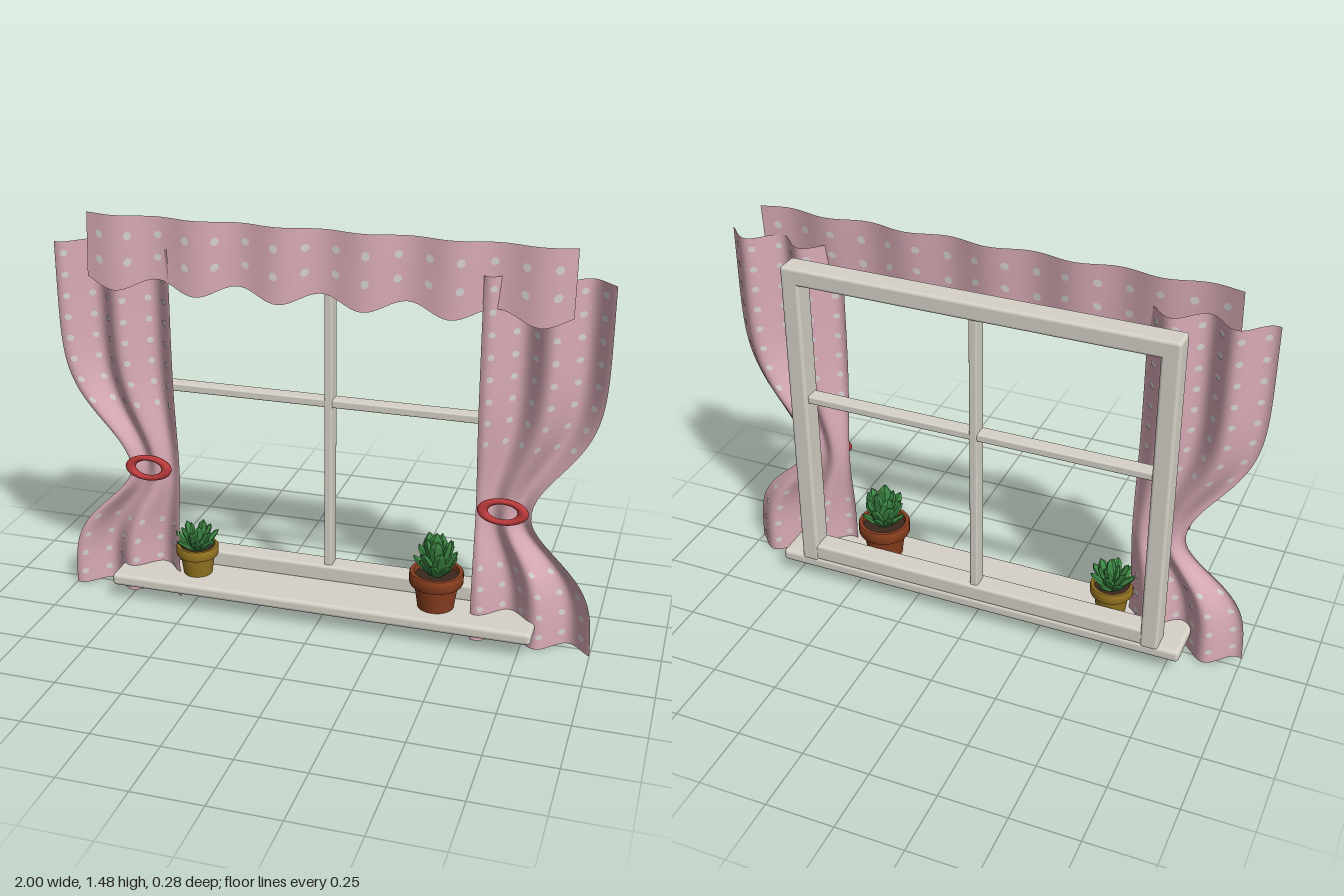
import * as THREE from 'three';
import { mergeGeometries, toCreasedNormals } from 'three/addons/utils/BufferGeometryUtils.js';
import { RoundedBoxGeometry } from 'three/addons/geometries/RoundedBoxGeometry.js';

const mat = (name, color, opts = {}) => {
  const m = new THREE.MeshStandardMaterial({ color, ...opts });
  m.name = name;
  return m;
};

export function createModel() {
  const root = new THREE.Group();
  root.name = 'curtainedWindow';
  const D = { side: THREE.DoubleSide };
  const pink = mat('pinkCloth', 0xd9abb6, D);
  const pale = mat('paleDots', 0xd9d3d3, D);
  const cream = mat('paintedWood', 0xd6d2c8);
  const red = mat('redTieback', 0xb8393b);
  const terracotta = mat('terracotta', 0x8a3f1f, D);
  const ochre = mat('ochreGlaze', 0x967622, D);
  const soil = mat('soil', 0x3b271c);
  const green = mat('leafGreen', 0x3c8543, { flatShading: true });

  const add = (name, geo, material, x = 0, y = 0, z = 0, parent = root) => {
    const m = new THREE.Mesh(geo, material);
    m.name = name;
    m.position.set(x, y, z);
    parent.add(m);
    return m;
  };
  const beam = (name, x0, x1, y0, y1, z0, z1, r) =>
    add(name, new RoundedBoxGeometry(x1 - x0, y1 - y0, z1 - z0, 3, r), cream,
      (x0 + x1) / 2, (y0 + y1) / 2, (z0 + z1) / 2);

  // Window frame, glazing bars and sill
  const L = -0.728, R = 0.714, W = 0.068;
  beam('windowSill', -0.807, 0.8, 0.058, 0.105, -0.138, 0.138, 0.015);
  beam('leftPost', R - W, R, 0.09, 1.335, -0.138, -0.048, 0.012);
  beam('rightPost', L, L + W, 0.09, 1.335, -0.138, -0.048, 0.012);
  beam('topRail', L, R, 1.28, 1.347, -0.138, -0.048, 0.012);
  beam('bottomRail', L + 0.01, R - 0.01, 0.098, 0.165, -0.135, -0.05, 0.012);
  beam('verticalBar', -0.021, 0.009, 0.15, 1.29, -0.125, -0.062, 0.006);
  beam('horizontalBar', L + 0.04, R - 0.04, 0.8, 0.83, -0.122, -0.065, 0.006);

  // Cloth: a plane bent by a rule (u, v in 0..1, left to right and bottom to top)
  const cloth = (name, rule, cols, rows) => {
    const g = new THREE.PlaneGeometry(1, 1, cols, rows);
    const p = g.attributes.position;
    for (let i = 0; i < p.count; i++) p.setXYZ(i, ...rule(p.getX(i) + 0.5, p.getY(i) + 0.5));
    g.computeVertexNormals();
    add(name, g, pink);
  };
  // Round spots that follow the cloth, just clear of both faces
  const spots = (name, rule, centres, ru, rv) => {
    const parts = [];
    for (const [u, v] of centres) for (const off of [0.003, -0.003]) {
      const g = new THREE.CircleGeometry(1, 8);
      const p = g.attributes.position;
      for (let i = 0; i < p.count; i++) {
        const [x, y, z] = rule(u + p.getX(i) * ru, v + p.getY(i) * rv);
        p.setXYZ(i, x, y, z + off);
      }
      g.computeVertexNormals();
      parts.push(g);
    }
    add(name, mergeGeometries(parts), pale);
  };

  // Curtains gathered by tiebacks
  const H = 1.372;
  for (const side of [1, -1]) {
    const label = side > 0 ? 'left' : 'right';
    const phase = side > 0 ? 0.05 : 0.46;
    const rule = (u, v) => {
      const t = side > 0 ? u : 1 - u, y = v * H;
      const pinch = Math.exp(-(((y - 0.5) / (y > 0.5 ? 0.256 : 0.19)) ** 2));
      const depth = 0.039 * (1 - 0.72 * pinch);
      return [side * (0.563 + t * (0.437 - 0.24 * pinch)), y,
        0.011 - 0.007 * pinch + depth * Math.cos(4 * Math.PI * (t - phase))];
    };
    cloth(label + 'Curtain', rule, 48, 48);
    const centres = [];
    for (let y = 1.33; y > 0.03; y -= 0.08) {
      if (y > 0.32 && y < 0.75) continue;
      for (let c = 0; c < 6; c++) centres.push([(c + 0.5) / 6, y / H]);
    }
    spots(label + 'CurtainDots', rule, centres, 0.027, 0.0085);

    const ring = add(label + 'Tieback', new THREE.TorusGeometry(0.072, 0.02, 12, 36), red,
      side > 0 ? 0.665 : -0.672, 0.528, 0.05);
    ring.scale.set(1, 0.52, 0.8);
    ring.rotation.x = -0.2;
  }

  // Scalloped valance
  const valance = (u, v) => {
    const x = -0.875 + 1.743 * u;
    const wave = Math.cos((2 * Math.PI * x) / 0.305);
    const bottom = 1.237 + 0.023 * wave;
    return [x, bottom + (1.483 - bottom) * v, 0.034 + 0.019 * (1 - v) - 0.014 * wave];
  };
  cloth('valance', valance, 96, 8);
  const valanceDots = [];
  for (let c = 0; c < 16; c++) for (const v of [0.36, 0.72]) valanceDots.push([(c + 0.5) / 16, v]);
  spots('valanceDots', valance, valanceDots, 0.0085, 0.058);

  // Potted succulents: each leaf ring is [count, tilt, length, turn]
  const plant = (name, x, z, r, h, potMat, rings) => {
    const g = new THREE.Group();
    g.name = name;
    g.position.set(x, 0.105, z);
    root.add(g);
    const rim = h * 0.66;
    const profile = [[0, 0], [r * 0.68, 0], [r * 0.82, rim], [r * 0.97, rim], [r, rim + 0.006],
      [r, h - 0.005], [r * 0.97, h], [r * 0.84, h], [r * 0.8, h - 0.03]]
      .map(([a, b]) => new THREE.Vector2(a, b));
    add('pot', toCreasedNormals(new THREE.LatheGeometry(profile, 28), 0.6), potMat, 0, 0, 0, g);
    const disc = new THREE.CircleGeometry(r * 0.83, 28).rotateX(-Math.PI / 2);
    add('soil', disc, soil, 0, h - 0.02, 0, g);
    const leaves = [];
    for (const [n, tilt, len, turn] of rings) for (let i = 0; i < n; i++) {
      const leaf = new THREE.SphereGeometry(1, 5, 4);
      leaf.translate(0, 1, 0).scale(len * 0.2, len / 2, len * 0.1);
      leaf.rotateX(tilt + 0.08 * Math.sin(i * 2.4)).translate(0, 0, 0.008);
      leaf.rotateY(turn + (i * 2 * Math.PI) / n);
      leaves.push(leaf);
    }
    add('leaves', mergeGeometries(leaves), green, 0, h - 0.024, 0, g);
  };
  plant('largePlant', 0.43, 0.017, 0.099, 0.142, terracotta,
    [[8, 0.75, 0.11, 0], [7, 0.48, 0.143, 0.4], [5, 0.22, 0.165, 0.2], [1, 0.03, 0.182, 0]]);
  plant('smallPlant', -0.5, 0.017, 0.08, 0.115, ochre,
    [[7, 0.85, 0.108, 0.3], [6, 0.5, 0.115, 0], [3, 0.2, 0.115, 0.6]]);

  return root;
}
